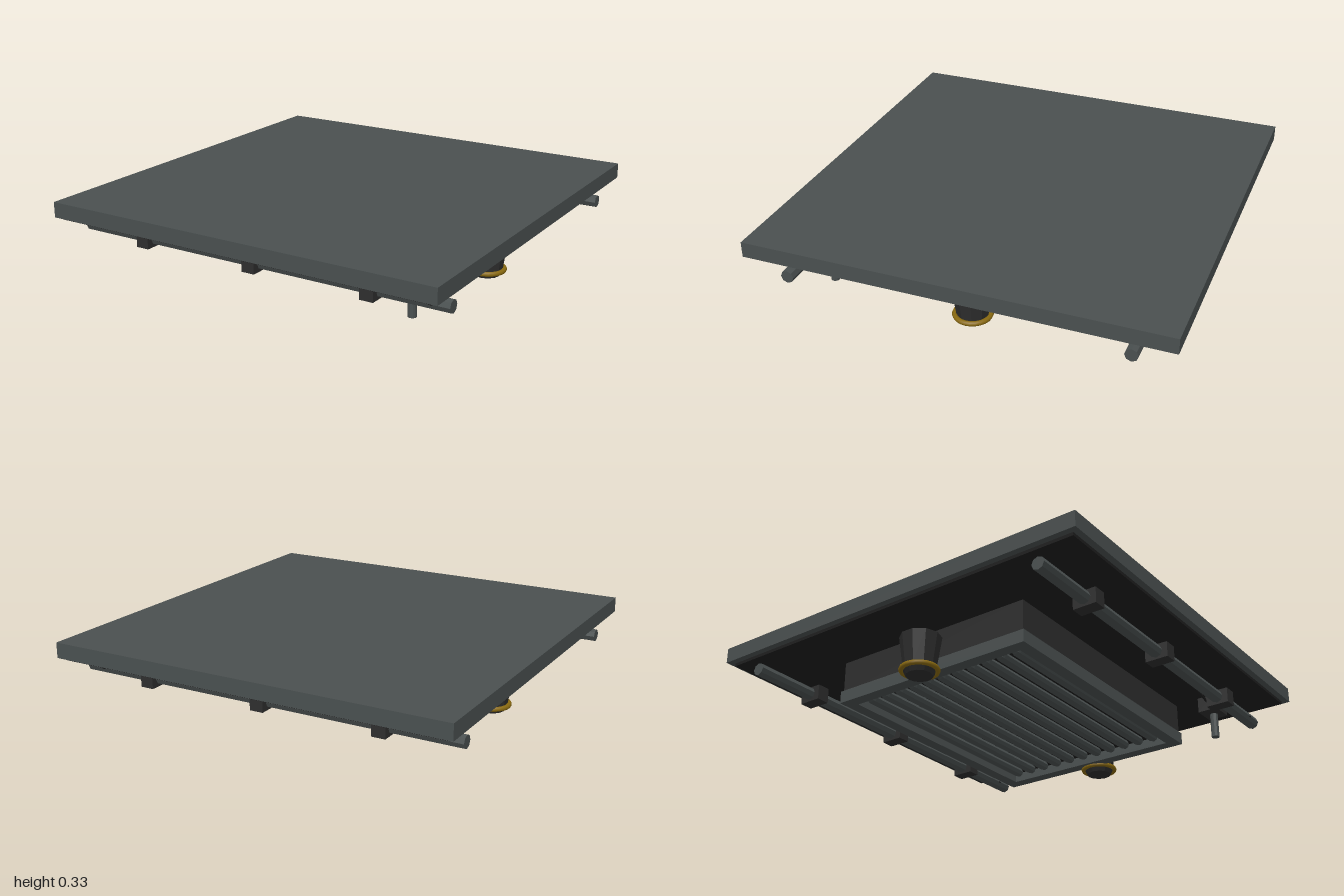
import * as THREE from 'three';

const mat = (name, color) => Object.assign(new THREE.MeshStandardMaterial({ color }), { name });

export function createModel() {
  const model = new THREE.Group();
  model.name = 'ceilingPanel';

  const panelGrey = mat('panel grey', 0x4a5050);
  const darkGrey = mat('dark grey', 0x2e2e2e);
  const shadowBlack = mat('near black', 0x1e1e1e);
  const brass = mat('brass', 0x8a6a10);
  panelGrey.flatShading = darkGrey.flatShading = true;

  const add = (name, geo, material, x = 0, y = 0, z = 0, parent = model) => {
    const m = new THREE.Mesh(geo, material);
    m.name = name;
    m.position.set(x, y, z);
    parent.add(m);
    return m;
  };
  const box = (name, material, w, h, d, x, y, z, parent) =>
    add(name, new THREE.BoxGeometry(w, h, d), material, x, y, z, parent);

  // Slab and its backing plate
  box('panel', panelGrey, 2, 0.075, 2, 0, 0.2925, 0);
  box('backingPlate', shadowBlack, 1.94, 0.016, 1.94, 0, 0.248, 0);

  // Vent housing, open frame and slats
  const vent = new THREE.Group();
  vent.name = 'vent';
  model.add(vent);
  box('ventHousing', darkGrey, 1.36, 0.16, 1.04, 0, 0.165, 0, vent);
  const rect = (target, w, d) => {
    target.moveTo(-w, -d);
    target.lineTo(w, -d);
    target.lineTo(w, d);
    target.lineTo(-w, d);
    target.closePath();
    return target;
  };
  const frame = rect(new THREE.Shape(), 0.69, 0.53);
  frame.holes.push(rect(new THREE.Path(), 0.63, 0.47));
  const frameGeo = new THREE.ExtrudeGeometry(frame, { depth: 0.06, bevelEnabled: false });
  frameGeo.rotateX(-Math.PI / 2);
  add('ventFrame', frameGeo, panelGrey, 0, 0.03, 0, vent);
  box('ventBack', shadowBlack, 1.26, 0.01, 0.94, 0, 0.082, 0, vent);
  const slatCount = 11;
  for (let i = 0; i < slatCount; i++) {
    const slat = new THREE.CapsuleGeometry(0.025, 1.17, 3, 8);
    slat.rotateZ(Math.PI / 2);
    add('ventSlat', slat, panelGrey, 0, 0.062, -0.42 + (0.84 * i) / (slatCount - 1), vent);
  }

  // Conduits with clamps, front and back
  for (const z of [0.8, -0.8]) {
    const conduit = new THREE.Group();
    conduit.name = z > 0 ? 'frontConduit' : 'backConduit';
    conduit.position.set(0, 0.175, z);
    model.add(conduit);
    const pipe = new THREE.CylinderGeometry(0.031, 0.031, 1.94, 8);
    pipe.rotateZ(Math.PI / 2);
    add('pipe', pipe, panelGrey, 0, 0, 0, conduit);
    for (const x of [-0.6, 0, 0.6]) box('clamp', darkGrey, 0.066, 0.075, 0.115, x, -0.002, 0, conduit);
    // Dark slot near the left end
    const slot = new THREE.SphereGeometry(1, 12, 8);
    slot.scale(0.05, 0.01, 0.033);
    add('pipeSlot', slot, shadowBlack, 0.88, 0, 0, conduit);
  }

  // Lamps on both sides of the vent
  for (const x of [-0.74, 0.74]) {
    const lamp = new THREE.Group();
    lamp.name = x > 0 ? 'leftLamp' : 'rightLamp';
    lamp.position.x = x;
    model.add(lamp);
    add('lampBody', new THREE.CylinderGeometry(0.097, 0.075, 0.155, 10), darkGrey, 0, 0.1125, 0, lamp);
    const ring = new THREE.TorusGeometry(0.082, 0.012, 8, 24);
    ring.rotateX(Math.PI / 2);
    add('lampRing', ring, brass, 0, 0.028, 0, lamp);
    add('lampLens', new THREE.CylinderGeometry(0.08, 0.062, 0.035, 12), darkGrey, 0, 0.0175, 0, lamp);
  }

  // Sensor with a pin and a short cable
  const sensor = new THREE.Group();
  sensor.name = 'sensor';
  model.add(sensor);
  box('sensorBase', darkGrey, 0.12, 0.078, 0.1, 0.72, 0.203, 0.7, sensor);
  add('sensorPin', new THREE.CylinderGeometry(0.02, 0.02, 0.125, 10), panelGrey, 0.73, 0.1025, 0.7, sensor);
  const cable = new THREE.CatmullRomCurve3([
    new THREE.Vector3(0.46, 0.238, 0.7),
    new THREE.Vector3(0.57, 0.232, 0.7),
    new THREE.Vector3(0.67, 0.21, 0.7),
  ]);
  add('sensorCable', new THREE.TubeGeometry(cable, 10, 0.007, 6), shadowBlack, 0, 0, 0, sensor);

  return model;
}
